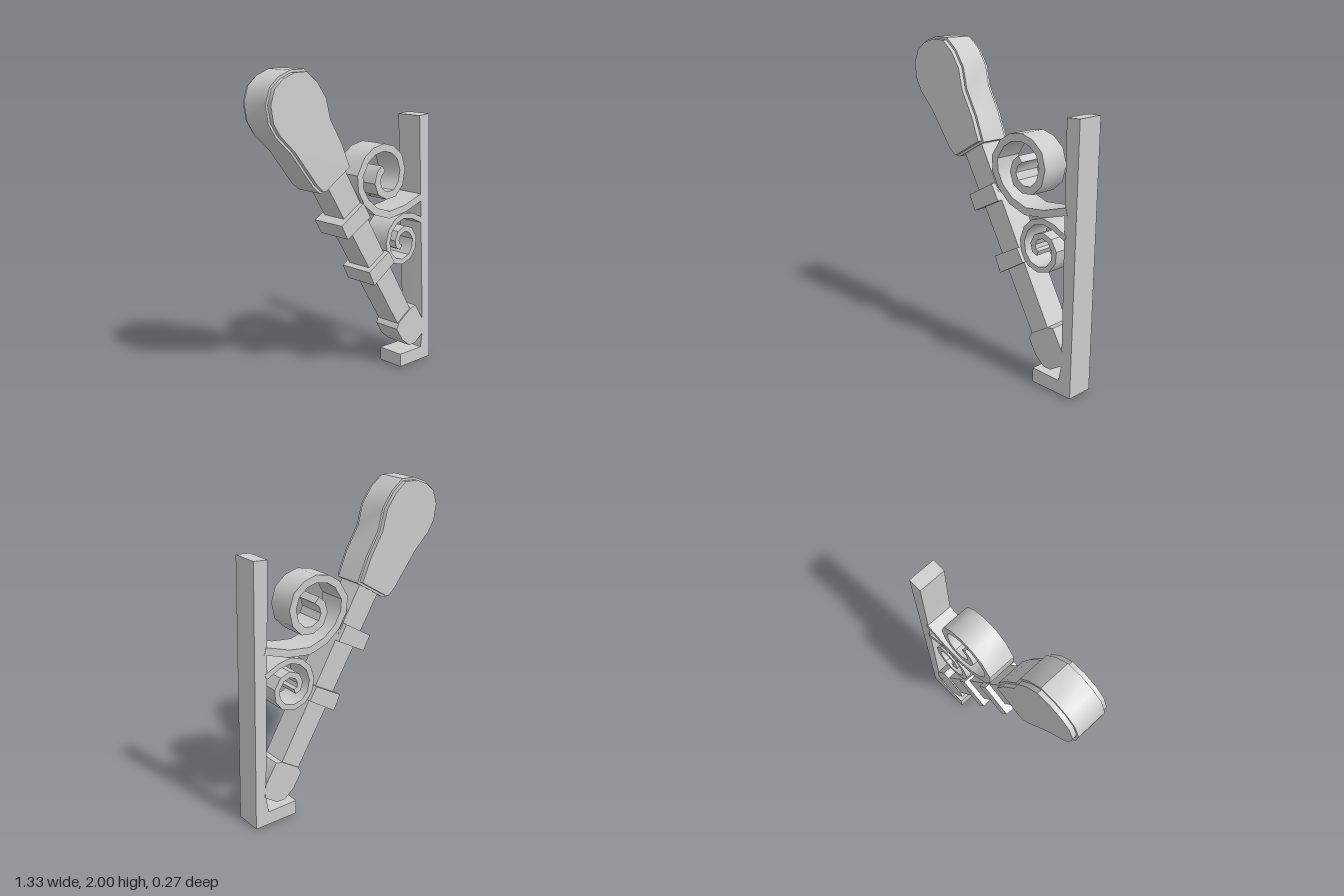
import * as THREE from 'three';
import { toCreasedNormals } from 'three/addons/utils/BufferGeometryUtils.js';

const material = new THREE.MeshStandardMaterial({ color: 0xcccccc });
const vectors = (pairs) => pairs.map(([x, y]) => new THREE.Vector2(x, y));

// Moves a polyline sideways by d, with mitred corners
function offset(pts, d, closed) {
  const n = pts.length;
  const side = (a, b) => new THREE.Vector2(a.y - b.y, b.x - a.x).normalize();
  return pts.map((p, i) => {
    const prev = closed || i > 0 ? pts[(i + n - 1) % n] : null;
    const next = closed || i < n - 1 ? pts[(i + 1) % n] : null;
    const n1 = prev ? side(prev, p) : side(p, next);
    const n2 = next ? side(p, next) : n1;
    const mitre = n1.clone().add(n2).normalize();
    return p.clone().addScaledVector(mitre, d / Math.max(0.6, mitre.dot(n2)));
  });
}

// Extruded outline, centred in depth
function slab(name, pts, depth) {
  const geo = new THREE.ExtrudeGeometry(new THREE.Shape(pts), { depth, bevelEnabled: false });
  geo.translate(0, 0, -depth / 2);
  const mesh = new THREE.Mesh(toCreasedNormals(geo, 0.6), material);
  mesh.name = name;
  return mesh;
}

// Flat band of constant width that follows a centre line
function scroll(name, pairs, width, depth) {
  const line = vectors(pairs);
  const outline = [...offset(line, width / 2, false), ...offset(line, -width / 2, false).reverse()];
  return slab(name, outline, depth);
}

export function createModel() {
  const root = new THREE.Group();
  root.name = 'scrollBracket';
  const body = new THREE.Group();
  body.name = 'bracketBody';
  // The bracket leans back slightly
  body.rotation.x = -0.0275;
  body.position.z = 0.038;
  root.add(body);

  // Upright with its foot and small inner fillet
  body.add(slab('post', vectors([
    [0.37, 0.012], [0.66, 0.004], [0.645, 1.65], [0.555, 1.645],
    [0.588, 0.2], [0.57, 0.092], [0.37, 0.1],
  ]), 0.18));

  // Sloping arm
  body.add(slab('arm', vectors([
    [-0.235, 1.32], [-0.095, 1.4], [0.47, 0.39], [0.35, 0.32],
  ]), 0.17));

  // Collars round the arm
  body.add(slab('upperCollar', vectors([
    [-0.157, 1.075], [0.025, 1.18], [0.082, 1.085], [-0.11, 0.985],
  ]), 0.235));
  body.add(slab('lowerCollar', vectors([
    [0.065, 0.74], [0.24, 0.835], [0.29, 0.755], [0.11, 0.645],
  ]), 0.235));

  // Rounded head: full outline in the middle, thicker inset faces
  const head = vectors([
    [-0.485, 1.995], [-0.57, 1.965], [-0.632, 1.915], [-0.665, 1.825],
    [-0.65, 1.72], [-0.605, 1.645], [-0.505, 1.545], [-0.35, 1.335],
    [-0.3, 1.29], [-0.27, 1.29], [-0.07, 1.41], [-0.13, 1.56],
    [-0.215, 1.71], [-0.245, 1.835], [-0.31, 1.93], [-0.39, 1.995],
  ]);
  body.add(slab('headRim', head, 0.185));
  body.add(slab('headFaces', offset(head, 0.014, true), 0.24));

  // Pointed end of the arm against the post
  body.add(slab('armTip', vectors([
    [0.355, 0.325], [0.335, 0.285], [0.39, 0.195], [0.455, 0.14], [0.51, 0.14],
    [0.595, 0.195], [0.59, 0.28], [0.515, 0.405], [0.47, 0.395],
  ]), 0.185));

  // Scrolls between arm and post
  body.add(scroll('largeScroll', [
    [0.58, 1.125], [0.42, 1.075], [0.275, 1.06], [0.16, 1.1], [0.077, 1.17],
    [0.03, 1.255], [0.025, 1.34], [0.08, 1.43], [0.145, 1.472], [0.23, 1.487],
    [0.305, 1.465], [0.367, 1.413], [0.393, 1.33], [0.373, 1.243], [0.32, 1.19],
    [0.255, 1.185], [0.195, 1.217], [0.172, 1.275], [0.188, 1.328], [0.225, 1.36],
  ], 0.045, 0.185));
  body.add(scroll('smallScroll', [
    [0.58, 0.968], [0.485, 1.015], [0.405, 1.03], [0.335, 1.007], [0.283, 0.957],
    [0.258, 0.88], [0.273, 0.805], [0.32, 0.752], [0.388, 0.732], [0.457, 0.752],
    [0.498, 0.805], [0.503, 0.868], [0.468, 0.925], [0.415, 0.945], [0.363, 0.925],
    [0.342, 0.88], [0.352, 0.843], [0.38, 0.83],
  ], 0.034, 0.185));

  return root;
}
